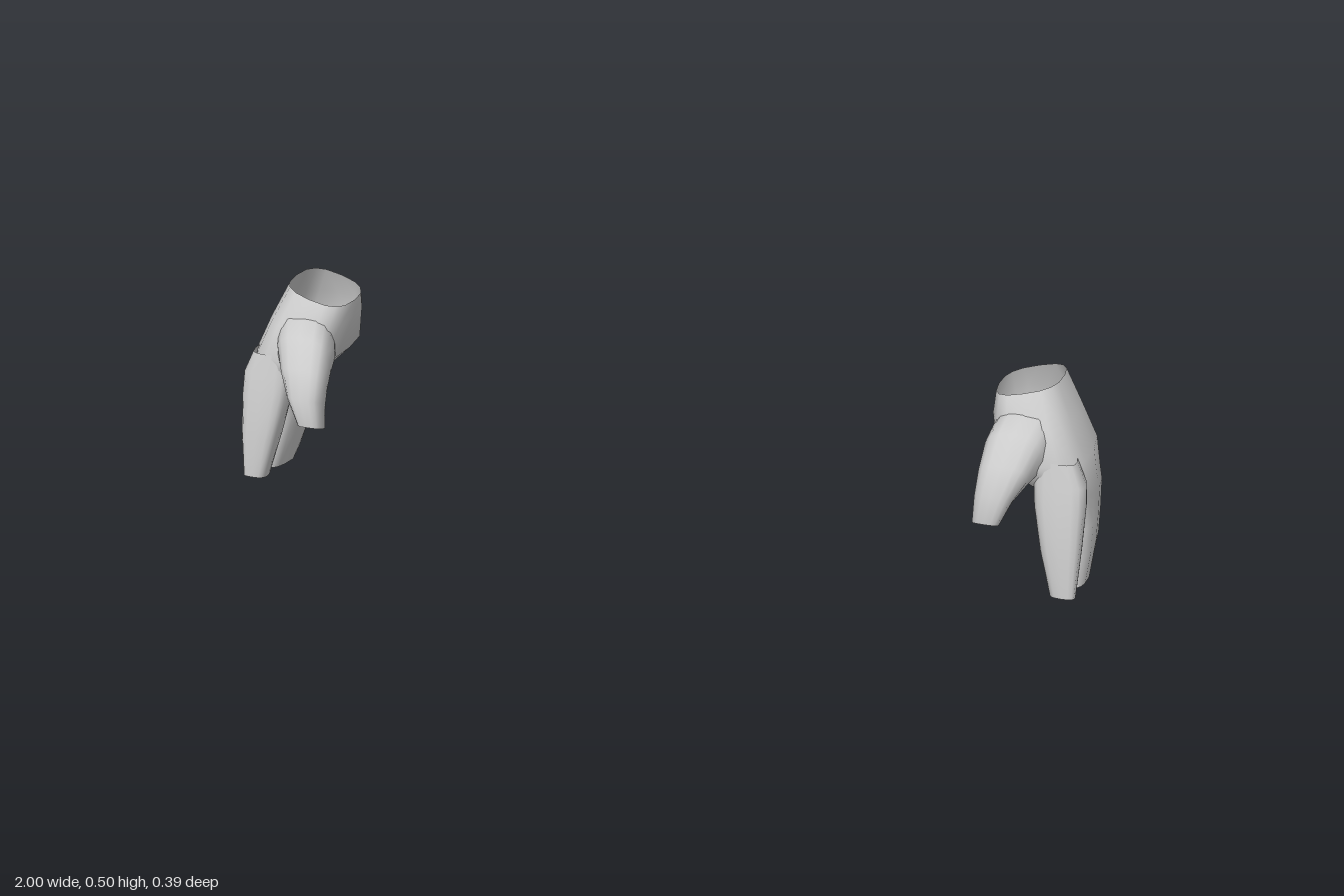
import * as THREE from 'three';

const SIDES = 16;
const material = new THREE.MeshStandardMaterial({ color: 0xcccccc, side: THREE.DoubleSide });

// Each section: [back z, back y, front z, front y, inner x, outer x, tilt across x, sag in the middle]
const PALM = [
  [-0.157, 0.468, 0.03, 0.49, 0.757, 0.9, 0.022, 0],
  [-0.178, 0.41, 0.075, 0.43, 0.757, 0.94, 0, 0],
  [-0.196, 0.325, 0.092, 0.35, 0.77, 0.978, 0, 0],
  [-0.187, 0.26, 0.085, 0.295, 0.83, 0.988, 0, 0],
  [-0.18, 0.215, 0.022, 0.25, 0.868, 0.993, 0, 0],
  [-0.168, 0.16, 0.028, 0.17, 0.887, 0.996, 0, 0],
  [-0.155, 0.1, 0.034, 0.1, 0.908, 0.997, 0, 0],
  [-0.136, 0.042, 0.04, 0.032, 0.933, 0.99, 0, 0.023],
];
const INDEX = [
  [0.03, 0.36, 0.085, 0.36, 0.875, 0.96, 0, 0],
  [0.02, 0.3, 0.097, 0.31, 0.87, 0.984, 0, 0],
  [0.022, 0.25, 0.11, 0.255, 0.876, 0.988, 0, 0],
  [0.047, 0.15, 0.127, 0.155, 0.9, 0.988, 0, 0],
  [0.075, 0.046, 0.131, 0.055, 0.93, 0.985, 0, 0.003],
];
const THUMB = [
  [-0.04, 0.35, 0.0, 0.455, 0.79, 0.88, 0, 0],
  [0.02, 0.315, 0.06, 0.452, 0.768, 0.905, 0, 0],
  [0.07, 0.303, 0.1, 0.425, 0.76, 0.89, 0, 0],
  [0.095, 0.292, 0.145, 0.368, 0.757, 0.866, 0, 0],
  [0.108, 0.265, 0.18, 0.31, 0.757, 0.84, 0, 0],
  [0.125, 0.215, 0.18, 0.24, 0.757, 0.815, 0, 0],
];

// Rounded-rectangle rings joined into a smooth skin, with a hard-edged cap on the last ring
function loft(name, sections, side, roundness) {
  const pos = [], index = [];
  const tri = (a, b, c) => (side > 0 ? index.push(a, b, c) : index.push(a, c, b));
  const soft = (v) => Math.sign(v) * Math.pow(Math.abs(v), roundness);
  const addRing = ([zb, yb, zf, yf, x0, x1, tilt, sag]) => {
    for (let i = 0; i < SIDES; i++) {
      const t = (i / SIDES) * Math.PI * 2;
      const c = soft(Math.cos(t)), s = soft(Math.sin(t)), k = (s + 1) / 2;
      pos.push(
        side * ((x0 + x1) / 2 + (c * (x1 - x0)) / 2),
        yb + (yf - yb) * k + tilt * c - sag * (1 - Math.abs(s)),
        zb + (zf - zb) * k
      );
    }
  };
  sections.forEach(addRing);
  for (let r = 0; r < sections.length - 1; r++) {
    for (let i = 0; i < SIDES; i++) {
      const a = r * SIDES + i, b = r * SIDES + ((i + 1) % SIDES);
      tri(a, b, a + SIDES);
      tri(b, b + SIDES, a + SIDES);
    }
  }
  // Tip cap
  const last = sections[sections.length - 1];
  const start = sections.length * SIDES;
  addRing(last);
  pos.push((side * (last[4] + last[5])) / 2, (last[1] + last[3]) / 2 - last[7], (last[0] + last[2]) / 2);
  for (let i = 0; i < SIDES; i++) tri(start + SIDES, start + i, start + ((i + 1) % SIDES));

  const geometry = new THREE.BufferGeometry();
  geometry.setAttribute('position', new THREE.Float32BufferAttribute(pos, 3));
  geometry.setIndex(index);
  geometry.computeVertexNormals();
  const mesh = new THREE.Mesh(geometry, material);
  mesh.name = name;
  return mesh;
}

function createHand(name, side) {
  const hand = new THREE.Group();
  hand.name = name;
  hand.add(
    loft('palmAndFingers', PALM, side, 0.72),
    loft('indexFinger', INDEX, side, 0.65),
    loft('thumb', THUMB, side, 0.75)
  );
  return hand;
}

export function createModel() {
  const model = new THREE.Group();
  model.name = 'pairOfHands';
  const left = createHand('leftHand', 1);
  const right = createHand('rightHand', -1);
  // The right hand hangs slightly lower and further forward
  right.position.set(-0.002, -0.012, 0.016);
  model.add(left, right);
  return model;
}
